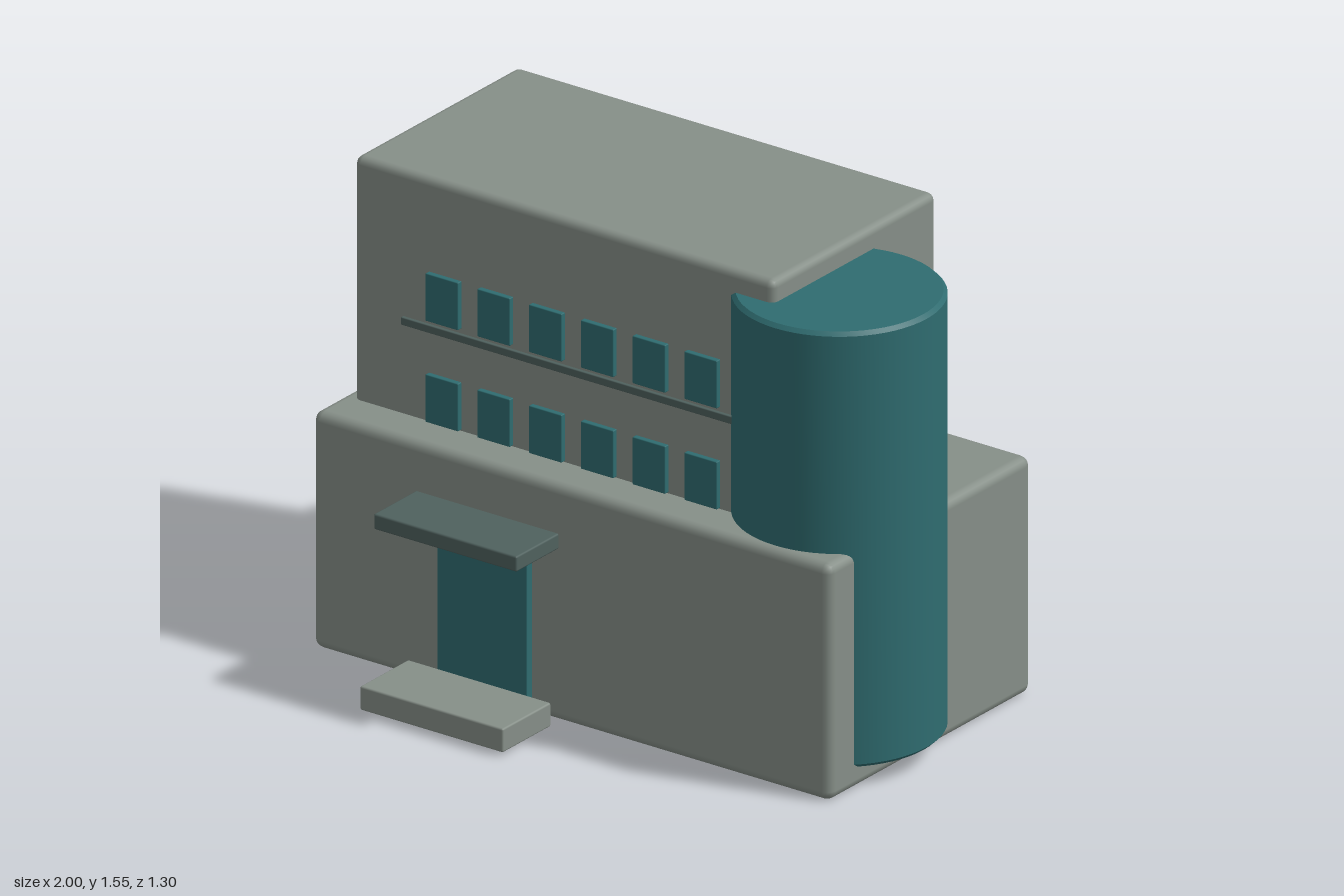
import * as THREE from 'three';
import { toCreasedNormals } from 'three/addons/utils/BufferGeometryUtils.js';
import { RoundedBoxGeometry } from 'three/addons/geometries/RoundedBoxGeometry.js';

function material(name, color) {
  const m = new THREE.MeshStandardMaterial({ color });
  m.name = name;
  return m;
}

export function createModel() {
  const model = new THREE.Group();
  model.name = 'building';
  const wall = material('greyWall', 0x868f88);
  const glass = material('tealGlass', 0x2f6c70);
  const trim = material('darkTrim', 0x4f615e);

  // Box with softened edges, given by its extents on each axis
  function block(name, mat, [x0, x1], [y0, y1], [z0, z1], radius, parent = model) {
    const geometry = new RoundedBoxGeometry(x1 - x0, y1 - y0, z1 - z0, 2, radius);
    const mesh = new THREE.Mesh(geometry, mat);
    mesh.name = name;
    mesh.position.set((x0 + x1) / 2, (y0 + y1) / 2, (z0 + z1) / 2);
    parent.add(mesh);
    return mesh;
  }

  // Two stacked volumes
  block('lowerStorey', wall, [-1, 0.9], [0, 0.765], [-0.652, 0.355], 0.03);
  block('upperStorey', wall, [-0.955, 0.585], [0.7, 1.55], [-0.605, 0.208], 0.025);

  // Round corner tower with a small chamfer at both ends
  const r = 0.32, h = 1.41, c = 0.012;
  const profile = [[0, 0], [r - c, 0], [r, c], [r, h - c], [r - c, h], [0, h]]
    .map(([x, y]) => new THREE.Vector2(x, y));
  const tower = new THREE.Mesh(toCreasedNormals(new THREE.LatheGeometry(profile, 64), 0.5), glass);
  tower.name = 'cornerTower';
  tower.position.set(0.677, 0.07, 0.004);
  model.add(tower);

  // Two rows of windows
  const windows = new THREE.Group();
  windows.name = 'windows';
  model.add(windows);
  for (const y of [0.768, 1.095]) {
    for (let i = 0; i < 6; i++) {
      const x = -0.68 + i * 0.19;
      block('window', glass, [x, x + 0.12], [y, y + 0.154], [0.195, 0.225], 0.003, windows);
    }
  }

  // Ledge between the rows
  block('ledge', trim, [-0.775, 0.445], [1.055, 1.08], [0.195, 0.219], 0.003);

  // Entrance
  block('door', glass, [-0.505, -0.175], [0.015, 0.575], [0.375, 0.404], 0.003);
  block('canopy', trim, [-0.605, -0.08], [0.57, 0.62], [0.371, 0.584], 0.006);
  block('entranceStep', wall, [-0.605, -0.08], [0.01, 0.087], [0.412, 0.652], 0.006);

  return model;
}
